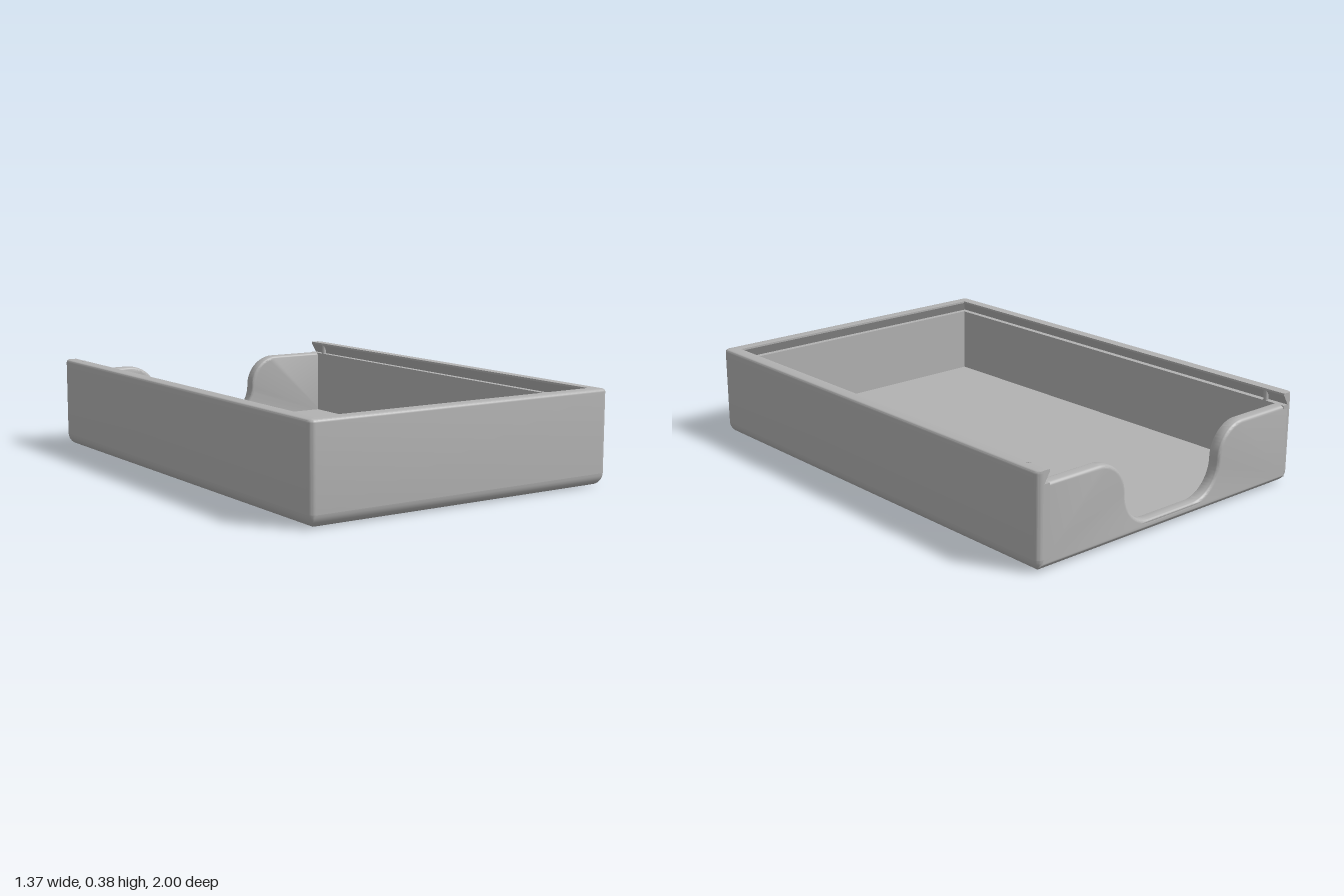
import * as THREE from 'three';
import { toCreasedNormals } from 'three/addons/utils/BufferGeometryUtils.js';

const W = 0.685, D = 1, H = 0.38;      // half width, half depth, height
const FLOOR = 0.05, LEDGE = 0.33;      // floor top, lid groove bottom
const WALL = 0.055, R = 0.025;         // wall thickness, vertical corner radius
const STEPS = 6;

// Plan outline at inset d; open outlines keep their back ends at z = -D
function ring(d, y, open) {
  const pts = [];
  [[1, -1], [1, 1], [-1, 1], [-1, -1]].forEach(([sx, sz], i) => {
    const m = Math.max(d, R), r = m - d;
    const flush = open && sz < 0;
    const cx = sx * (W - m), cz = sz * (D - (flush ? R : m));
    for (let k = 0; k <= STEPS; k++) {
      const t = (i - 1 + k / STEPS) * Math.PI / 2;
      pts.push([cx + r * Math.cos(t), y, cz + (flush ? R : r) * Math.sin(t)]);
    }
  });
  if (!open) pts.push(pts[0]);
  return pts;
}

// Skin a profile of [inset, y] points around the plan outline
function loft(profile, open) {
  const rows = profile.map(([d, y]) => ring(d, y, open));
  const n = rows[0].length, index = [];
  for (let j = 0; j < rows.length - 1; j++) {
    for (let k = 0; k < n - 1; k++) {
      const a = j * n + k, b = a + n;
      index.push(a, b, a + 1, b, b + 1, a + 1);
    }
  }
  const g = new THREE.BufferGeometry();
  g.setAttribute('position', new THREE.Float32BufferAttribute(rows.flat(2), 3));
  g.setIndex(index);
  return toCreasedNormals(g, 0.5);
}

export function createModel() {
  const group = new THREE.Group();
  const grey = new THREE.MeshStandardMaterial({ color: 0xb2b2b2 });
  grey.name = 'grey plastic';
  const add = (name, geometry) => {
    const mesh = new THREE.Mesh(geometry, grey);
    mesh.name = name;
    group.add(mesh);
    return mesh;
  };

  // Floor slab with a rounded lower edge
  const base = [[W, 0]];
  for (let k = 0; k <= 8; k++) {
    const t = k / 8 * Math.PI / 2;
    base.push([FLOOR * (1 - Math.sin(t)), FLOOR * (1 - Math.cos(t))]);
  }
  base.push([W, FLOOR]);
  add('floor', loft(base, false));

  // Side and front walls with softened rim and undercut lid groove
  const profile = [[0, FLOOR]];
  for (let k = 0; k <= 4; k++) {
    const t = k / 4 * Math.PI / 2;
    profile.push([0.012 * (1 - Math.cos(t)), H - 0.012 * (1 - Math.sin(t))]);
  }
  profile.push([WALL, H], [WALL, 0.372], [0.03, LEDGE], [WALL, LEDGE], [WALL, FLOOR]);
  add('sideAndFrontWalls', loft(profile, true));

  // Back ends of the side walls, and small lid detents
  for (const s of [-1, 1]) {
    const side = s < 0 ? 'right' : 'left';
    const outline = profile.map(([d, y]) => new THREE.Vector2(-s * (W - Math.max(d, R)), y));
    const cap = new THREE.ShapeGeometry(new THREE.Shape(outline));
    cap.rotateY(Math.PI);
    cap.translate(0, 0, -D);
    add(side + 'WallEnd', cap);

    const pin = new THREE.CylinderGeometry(0.01, 0.01, H + 0.001 - LEDGE, 16);
    add(side + 'LidDetent', pin).position.set(s * 0.638, (H + 0.001 + LEDGE) / 2, -0.905);
  }

  // Low back wall with an S-curved finger notch and rounded edges
  const bevel = 0.015, flat = 0.115, low = 0.056, r = (LEDGE - low) / 2;
  const edge = W - bevel, foot = 0.02, q = Math.PI / 2;
  const back = new THREE.Shape();
  back.moveTo(-edge, foot);
  back.lineTo(edge, foot);
  back.lineTo(edge, LEDGE);
  back.lineTo(flat + 2 * r, LEDGE);
  back.absarc(flat + 2 * r, LEDGE - r, r, q, 2 * q, false);
  back.absarc(flat, low + r, r, 0, -q, true);
  back.absarc(-flat, low + r, r, -q, -2 * q, true);
  back.absarc(-flat - 2 * r, LEDGE - r, r, 0, q, false);
  back.lineTo(-edge, LEDGE);
  const wall = new THREE.ExtrudeGeometry(back, {
    depth: WALL - 2 * bevel, bevelEnabled: true, bevelThickness: bevel,
    bevelSize: bevel, bevelOffset: -bevel, bevelSegments: 5, curveSegments: 16,
  });
  wall.translate(0, 0, -D + bevel);
  add('notchedBackWall', toCreasedNormals(wall, 0.5));

  return group;
}
